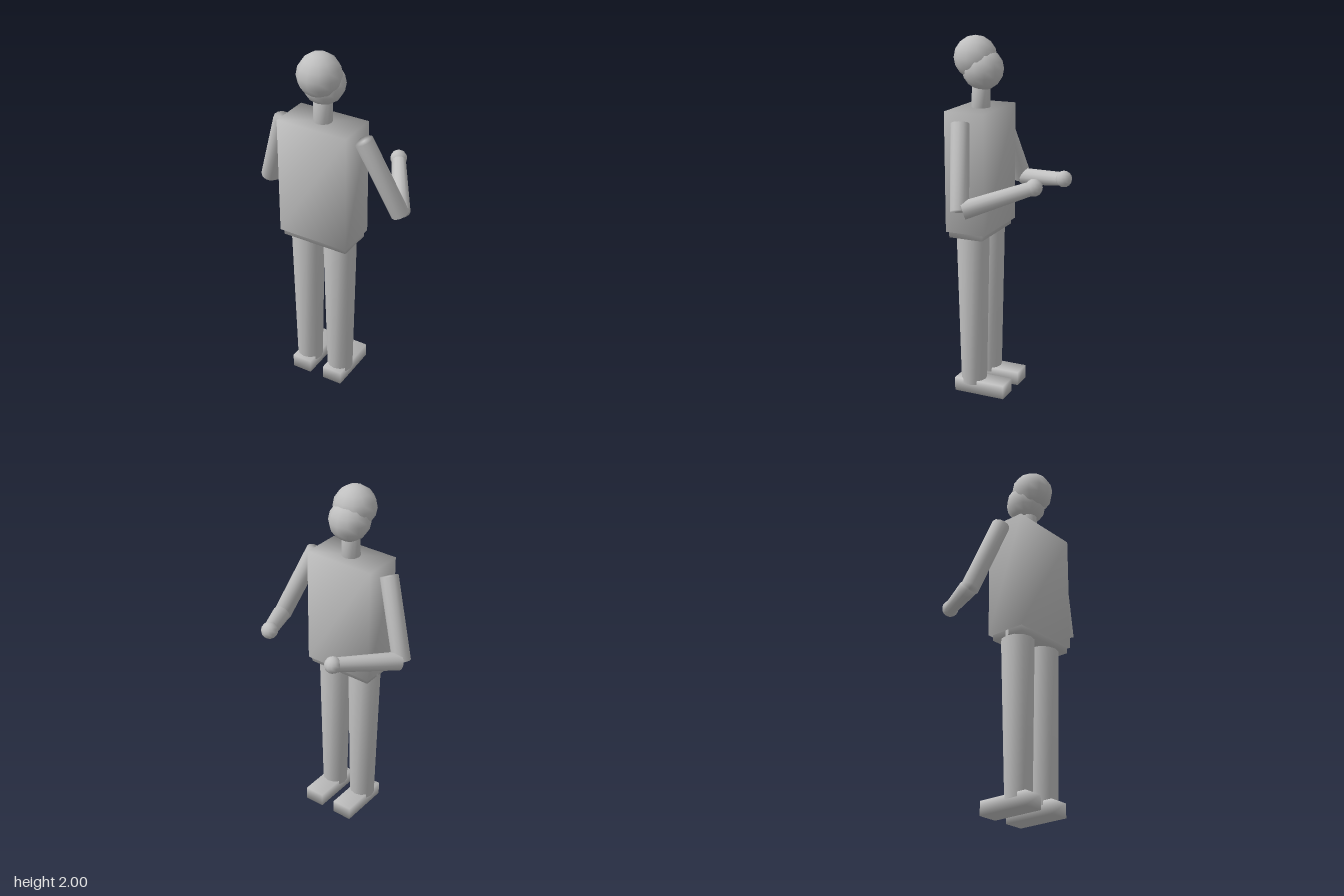
import * as THREE from 'three';
import { mergeVertices } from 'three/addons/utils/BufferGeometryUtils.js';

// Weld corners so that shading runs smoothly across every edge
function soften(geometry) {
  geometry.deleteAttribute('normal');
  geometry.deleteAttribute('uv');
  const welded = mergeVertices(geometry, 1e-4);
  welded.computeVertexNormals();
  return welded;
}

export function createModel() {
  const model = new THREE.Group();
  model.name = 'figure';
  const grey = new THREE.MeshStandardMaterial({ color: 0xc0c0c0 });
  grey.name = 'plain grey';

  function add(name, geometry, position) {
    const mesh = new THREE.Mesh(soften(geometry), grey);
    mesh.name = name;
    mesh.position.set(...position);
    model.add(mesh);
    return mesh;
  }

  // Box given by its lowest and highest corners
  function block(name, low, high) {
    const size = high.map((h, i) => h - low[i]);
    const middle = high.map((h, i) => (h + low[i]) / 2);
    return add(name, new THREE.BoxGeometry(...size), middle);
  }

  // Tapered capped cylinder between two points
  function limb(name, from, to, rFrom, rTo) {
    const a = new THREE.Vector3(...from);
    const b = new THREE.Vector3(...to);
    const along = b.clone().sub(a);
    const mesh = add(name, new THREE.CylinderGeometry(rTo, rFrom, along.length(), 12),
      a.clone().add(b).multiplyScalar(0.5).toArray());
    mesh.quaternion.setFromUnitVectors(new THREE.Vector3(0, 1, 0), along.normalize());
    return mesh;
  }

  function ball(name, center, radius) {
    return add(name, new THREE.SphereGeometry(radius, 12, 8), center);
  }

  // Head, hair and neck
  ball('face', [-0.012, 1.822, 0.138], 0.113);
  ball('hair', [-0.012, 1.883, 0.182], 0.117);
  limb('neck', [-0.012, 1.58, 0.153], [-0.012, 1.76, 0.148], 0.052, 0.05);

  // Trunk
  block('torso', [-0.216, 0.955, 0.04], [0.192, 1.617, 0.27]);
  block('pelvis', [-0.2, 0.923, 0.058], [0.182, 1.06, 0.255]);

  // Legs and feet
  for (const [side, x] of [['left', 0.09], ['right', -0.112]]) {
    limb(side + 'Leg', [x, 0.055, 0.155], [x, 1.0, 0.155], 0.072, 0.092);
    block(side + 'Foot', [x - 0.058, 0, -0.05], [x + 0.058, 0.078, 0.25]);
  }

  // Arms, bent at the elbow with the hands held forward
  const arms = [
    { side: 'left', shoulder: [0.23, 1.568, 0.157], elbow: [0.406, 1.148, 0.075], hand: [0.215, 1.265, -0.258] },
    { side: 'right', shoulder: [-0.254, 1.568, 0.157], elbow: [-0.406, 1.148, 0.075], hand: [-0.206, 1.215, -0.258] },
  ];
  for (const { side, shoulder, elbow, hand } of arms) {
    limb(side + 'UpperArm', shoulder, elbow, 0.05, 0.05);
    limb(side + 'Forearm', [elbow[0] * 0.99, elbow[1] + 0.005, elbow[2] - 0.015], hand, 0.05, 0.038);
    ball(side + 'Hand', hand, 0.046);
  }

  return model;
}
